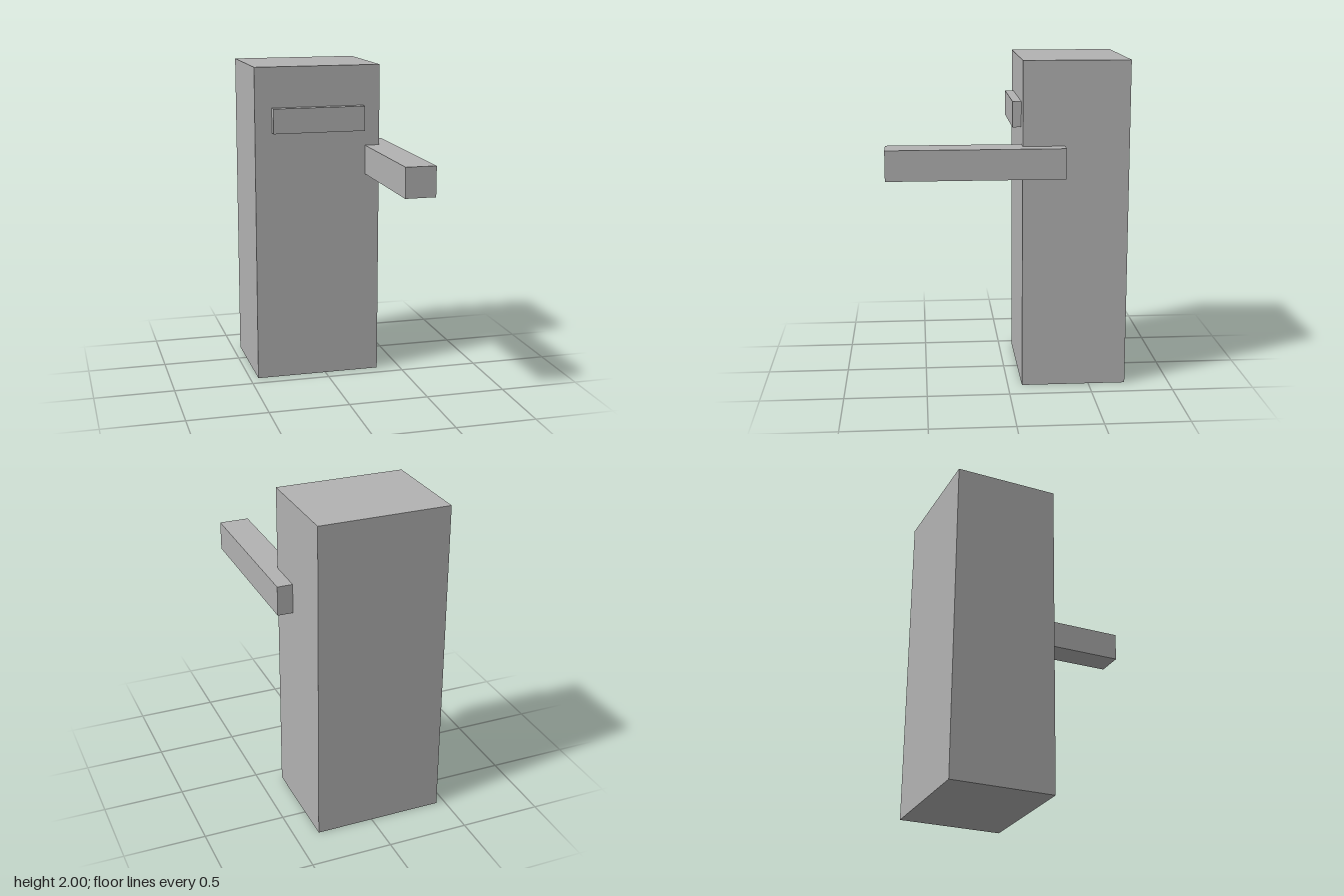
import * as THREE from 'three';

export function createModel() {
  const group = new THREE.Group();
  const grey = new THREE.MeshStandardMaterial({ color: 0xb2b2b2 });
  grey.name = 'grey';

  // Adds a box spanning two opposite corners
  function addBox(name, min, max) {
    const size = max.map((v, i) => v - min[i]);
    const mesh = new THREE.Mesh(new THREE.BoxGeometry(...size), grey);
    mesh.position.set(...max.map((v, i) => (v + min[i]) / 2));
    mesh.name = name;
    group.add(mesh);
  }

  // Tall upright body
  addBox('body', [-0.447, 0, -0.727], [0.352, 2, -0.087]);
  // Raised bar across the upper front
  addBox('visor', [-0.34, 1.593, -0.087], [0.244, 1.748, -0.034]);
  // Arm reaching forward, half sunk into the left side
  addBox('arm', [0.26, 1.31, -0.338], [0.447, 1.493, 0.727]);

  return group;
}
